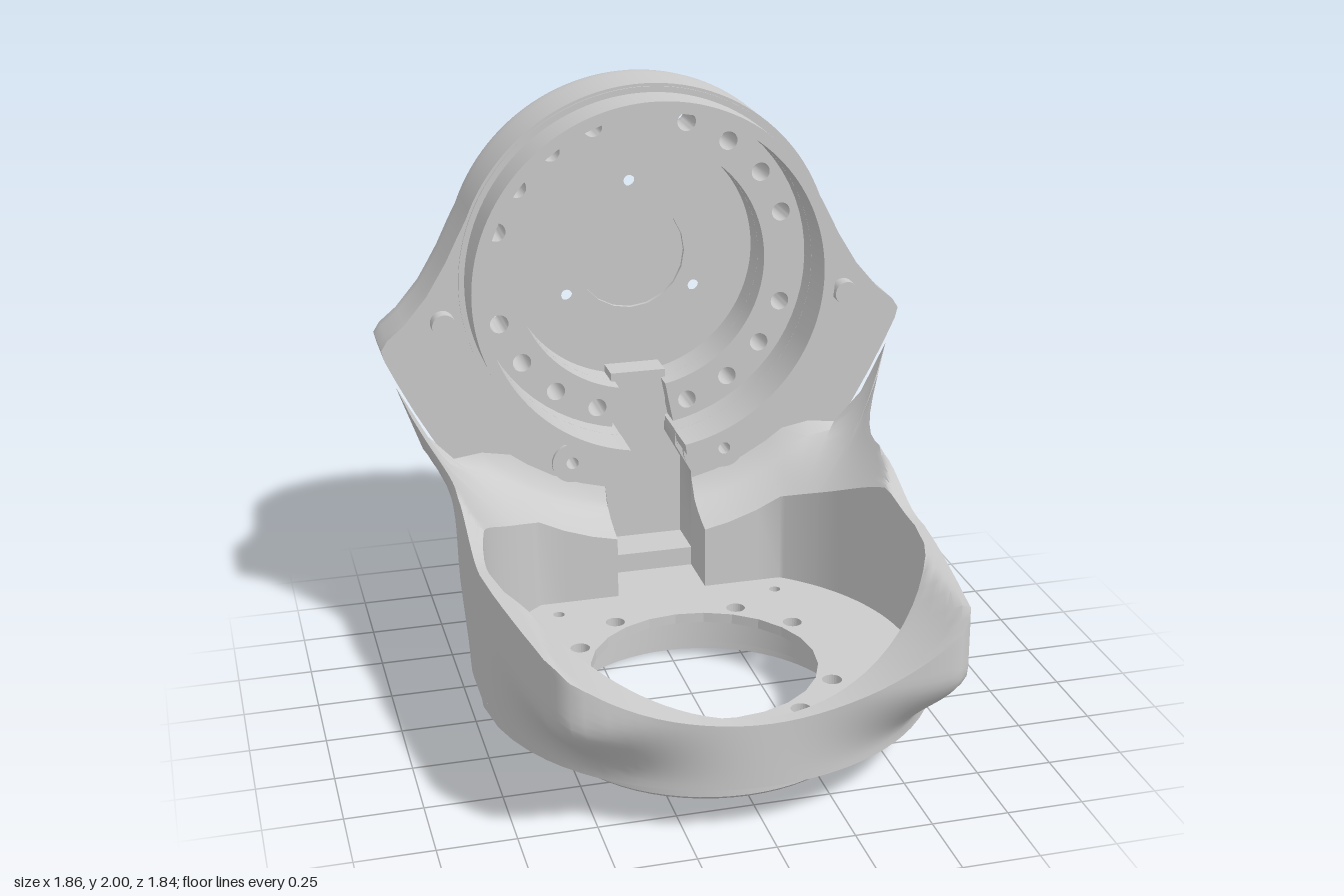
import * as THREE from 'three';
import { toCreasedNormals } from 'three/addons/utils/BufferGeometryUtils.js';

const CY = 1.33; // height of the upright flange axis
const CZ = 0.165; // depth of the base flange axis
const BACK = -0.905; // flat back face
const V = (x, y, z) => new THREE.Vector3(x, y, z);
const lerp = THREE.MathUtils.lerp;
const smooth = (t) => THREE.MathUtils.smoothstep(t, 0, 1);
const mat = new THREE.MeshStandardMaterial({ color: 0xcccccc, side: THREE.DoubleSide });

// Surface through rows of points
function grid(rows, closed = false) {
  const n = rows[0].length, idx = [];
  for (let r = 0; r < rows.length - 1; r++)
    for (let i = 0; i < (closed ? n : n - 1); i++) {
      const a = r * n + i, b = r * n + (i + 1) % n;
      idx.push(a, b, b + n, a, b + n, a + n);
    }
  const g = new THREE.BufferGeometry().setFromPoints(rows.flat());
  g.setIndex(idx);
  return toCreasedNormals(g, 0.7);
}

const circle = (x, y, r, n = 24) => Array.from({ length: n }, (_, i) =>
  new THREE.Vector2(x + r * Math.cos(i / n * 2 * Math.PI), y + r * Math.sin(i / n * 2 * Math.PI)));

function shape(pts, holes = []) {
  const s = new THREE.Shape(pts);
  s.holes = holes.map((h) => new THREE.Path(h));
  return s;
}

// Ring about the flange axis, open at the bottom by the given half angle
function openRing(r0, r1, gap, depth, holes = []) {
  const s = new THREE.Shape(), a = -Math.PI / 2 + gap, b = 1.5 * Math.PI - gap;
  s.absarc(0, CY, r1, a, b, false);
  s.absarc(0, CY, r0, b, a, true);
  s.holes = holes.map((h) => new THREE.Path(h));
  return toCreasedNormals(new THREE.ExtrudeGeometry(s, { depth, bevelEnabled: false, curveSegments: 64 }), 0.6);
}

// Half outline of the upright plate, bottom to shoulder, then the round top
const SIDE = [[0.5, 0.165], [0.55, 0.21], [0.585, 0.35], [0.645, 0.52], [0.73, 0.72], [0.83, 0.9],
  [0.885, 1.01], [0.922, 1.09], [0.932, 1.13], [0.91, 1.165], [0.85, 1.215], [0.77, 1.31], [0.7, 1.425], [0.655, 1.515]];
const TOP = Array.from({ length: 25 }, (_, i) => {
  const a = (21 + i * 69 / 24) * Math.PI / 180;
  return [0.67 * Math.cos(a), CY + 0.67 * Math.sin(a)];
});
const HALF = [...SIDE, ...TOP];
const OUTLINE = [...HALF, ...HALF.slice(0, -1).reverse().map(([x, y]) => [-x, y])];

function halfWidth(y) {
  for (let i = 1; i < 9; i++)
    if (y <= SIDE[i][1])
      return lerp(SIDE[i - 1][0], SIDE[i][0], Math.max(0, (y - SIDE[i - 1][1]) / (SIDE[i][1] - SIDE[i - 1][1])));
  return SIDE[8][0];
}

// Plate section at depth z; t pulls it in to the flat back face
function plateRing(z, t) {
  const yMin = 0.53 - 0.365 * Math.sqrt(Math.max(0, 1 - ((z + 0.55) / 0.36) ** 2));
  return OUTLINE.map(([x, y]) => {
    let ix, iy = y;
    if (y > CY) {
      const k = Math.min(1, 0.605 / Math.hypot(x, y - CY));
      ix = x * k; iy = CY + (y - CY) * k;
    } else ix = Math.sign(x) * Math.min(Math.abs(x) - 0.05, 0.6);
    let py = lerp(y, iy, t);
    if (py < 0.7) py = 0.7 - (0.7 - py) * (0.7 - yMin) / 0.535;
    return V(lerp(x, ix, t), py, z);
  });
}

// Round pocket joined to the cable channel below it
function keyhole(r) {
  const a0 = -Math.PI / 2 + Math.asin(0.1 / r), span = 2 * Math.PI - 2 * Math.asin(0.1 / r), pts = [];
  for (let i = 0; i <= 64; i++) pts.push(new THREE.Vector2(r * Math.cos(a0 + span * i / 64), CY + r * Math.sin(a0 + span * i / 64)));
  for (const [x, y] of [[-0.1, 0.68], [-0.16, 0.57], [-0.16, 0.27], [0.16, 0.27], [0.16, 0.57], [0.1, 0.68]])
    pts.push(new THREE.Vector2(x, y));
  return pts;
}

// Top height of the cup: swept clearance arc with a fillet to the plate, limited by the rim line
function cupTop(x, z) {
  const fillet = z < -0.15 ? 0.8 + 0.15 * Math.sqrt(Math.max(0, 1 - ((z + 0.15) / 0.45) ** 2)) : 0.95;
  const R = lerp(fillet, 0.95, smooth((Math.abs(x) - 0.5) / 0.25));
  const arc = CY - Math.sqrt(Math.max(R * R - x * x, 0.109));
  const rim = z < -0.2 ? 0.735 + (-0.2 - z) * 2
    : 0.635 + 0.1 * smooth((0.15 - z) / 0.35) - 0.06 * Math.max(0, (z - 0.85) / 0.07) ** 2;
  return Math.min(arc, rim);
}

// Cup wall at height y: round at the bottom, square-cornered above,
// behind it narrows to the plate below and flares out to the wing at yTop
const flare = (z) => 0.14 * Math.max(0, (-0.3 - z) / 0.3) ** 2;
function cupXZ(x, z, y, yTop) {
  if (z > CZ) {
    const k = 0.755 / Math.hypot(x, z - CZ), b = smooth((y - 0.18) / 0.27);
    return [lerp(x * k, x, b), lerp(CZ + (z - CZ) * k, z, b)];
  }
  const start = lerp(0, -0.2, smooth((y - 0.165) / 0.3));
  const t = Math.max(0, (start - z) / (start + 0.6));
  const w = lerp(0.75, Math.min(0.75, halfWidth(y)), t * t) + flare(z) * Math.max(0, (y - 0.6) / (yTop - 0.6));
  return [x / 0.75 * w, z];
}

export function createModel() {
  const model = new THREE.Group();
  const add = (name, geo, x = 0, y = 0, z = 0) => {
    const m = new THREE.Mesh(geo, mat);
    m.name = name;
    m.position.set(x, y, z);
    model.add(m);
    return m;
  };
  const face = (name, z, pts, holes) => add(name, new THREE.ShapeGeometry(shape(pts, holes)), 0, 0, z);
  const wall = (name, pts, z0, z1) =>
    add(name, grid([z0, z1].map((z) => pts.map((p) => V(p.x, p.y, z))), true));
  const rod = (name, r0, r1, len, x, y, z, open = false) =>
    add(name, new THREE.CylinderGeometry(r0, r1, len, 24, 1, open).rotateX(Math.PI / 2), x, y, z);

  // Hole positions on the upright flange
  const onAxis = (r, deg) => [r * Math.cos(deg * Math.PI / 180), CY + r * Math.sin(deg * Math.PI / 180)];
  const bolts = [18, 36, 54, 72, 108, 126, 144, 162].flatMap((a) => [onAxis(0.536, a), onAxis(0.536, -a)]);
  const lugs = [[0.28, 0.655], [-0.28, 0.655]];
  const capScrews = [90, 210, 330].map((a) => onAxis(0.27, a));
  const holes = (list, r) => list.map(([x, y]) => circle(x, y, r));

  // Upright plate
  const rings = [[-0.6, 0], [-0.66, 0], [-0.72, 0], [-0.77, 0], [-0.815, 0], [-0.838, 0.05], [-0.855, 0.17],
    [-0.872, 0.4], [-0.89, 0.72], [BACK, 1]].map(([z, t]) => plateRing(z, t));
  add('plateShell', grid(rings, true));
  face('plateFront', -0.6, OUTLINE.map(([x, y]) => new THREE.Vector2(x, y)), [keyhole(0.6), ...holes(lugs, 0.022)]);
  const back = face('plateBack', BACK, rings.at(-1).map((p) => new THREE.Vector2(p.x, p.y)),
    [circle(0, CY, 0.36, 48), ...holes([...bolts, ...lugs], 0.057)]);
  back.geometry.index.array.reverse();
  back.geometry.computeVertexNormals();

  // Round pocket, raised bolt ledge, floor and cable channel
  wall('pocketWall', keyhole(0.6), -0.6, -0.76);
  face('channelFloor', -0.76, keyhole(0.6), [circle(0, CY, 0.45, 64), ...holes(bolts, 0.033)]);
  add('boltLedge', openRing(0.45, 0.6, 0.19, 0.17, holes(bolts, 0.033)), 0, 0, -0.85);
  face('pocketFloor', -0.85, circle(0, CY, 0.45, 64), [circle(0, CY, 0.2, 20), ...holes(capScrews, 0.02)]);
  wall('centreRecessWall', circle(0, CY, 0.2, 20), -0.85, -0.865);
  face('centreRecess', -0.865, circle(0, CY, 0.2, 20));
  add('channelTongue', new THREE.BoxGeometry(0.2, 0.2, 0.11), 0, 0.82, -0.8);

  // Bolt holes with counterbores
  for (const [list, r, z0] of [[bolts, 0.033, -0.68], [lugs, 0.022, -0.6]])
    for (const [x, y] of list) {
      wall('boltHole', circle(x, y, r), z0, -0.83);
      face('counterboreSeat', -0.83, circle(x, y, 0.057), [circle(x, y, r)]);
      wall('counterbore', circle(x, y, 0.057), -0.83, BACK);
    }

  // Back cap with countersunk screws
  add('backCap', new THREE.ExtrudeGeometry(shape(circle(0, CY, 0.35, 48), holes(capScrews, 0.055)),
    { depth: 0.045, bevelEnabled: false }), 0, 0, -0.918);
  wall('capGroove', circle(0, CY, 0.36, 48), BACK, -0.87);
  face('capSeat', -0.872, circle(0, CY, 0.36, 48), holes(capScrews, 0.024));
  for (const [x, y] of capScrews) rod('countersink', 0.02, 0.055, 0.068, x, y, -0.884, true);

  // Collar around the pocket, open at the cable channel
  add('collar', openRing(0.6, 0.64, 0.165, 0.155), 0, 0, -0.605);
  add('collarFoot', openRing(0.635, 0.66, 0.165, 0.01), 0, 0, -0.605);

  // Pins and lugs beside the collar
  for (const s of [1, -1]) {
    rod('stopPin', 0.042, 0.042, 0.1, s * 0.72, 1.215, -0.6);
    const lug = new THREE.Shape();
    lug.absarc(s * 0.28, 0.655, 0.072, -Math.PI / 2, Math.PI / 2, s < 0);
    lug.absarc(s * 0.2, 0.655, 0.072, Math.PI / 2, -Math.PI / 2, s < 0);
    lug.holes.push(new THREE.Path(circle(s * 0.28, 0.655, 0.022)));
    add('lug', new THREE.ExtrudeGeometry(lug, { depth: 0.015, bevelEnabled: false }), 0, 0, -0.6);
  }

  // Cup plan: channel edge, back, side, front, then mirrored
  const backXs = [0.16, 0.25, 0.35, 0.44, 0.5, 0.6, 0.7, 0.8];
  const right = backXs.map((x) => [x, -0.6, true]);
  for (let i = 0; i <= 16; i++) right.push([0.75, -0.6 + i * 0.05]);
  right.push([0.735, 0.35], [0.722, 0.45], [0.708, 0.55], [0.695, 0.64], [0.682, 0.72], [0.667, 0.82], [0.645, 0.875], [0.61, 0.908], [0.57, 0.92]);
  for (let i = 10; i >= 0; i--) right.push([i * 0.05, 0.92]);
  const plan = [...right, ...right.slice(0, -1).reverse().map(([x, z, b]) => [-x, z, b])];
  const outer = plan.map(([x, z, isBack]) => {
    if (isBack) return V(x, cupTop(x, z), z);
    let px = x + Math.sign(x) * flare(z), pz = z, y = cupTop(px, pz);
    for (let k = 0; k < 8; k++) { [px, pz] = cupXZ(x, z, y, y); y = cupTop(px, pz); }
    return V(px, y, pz);
  });
  const inner = plan.map(([, , isBack], i) => {
    const p = outer[i], ax = Math.abs(p.x);
    if (isBack) {
      const ix = ax <= 0.44 ? ax : 0.44 + (ax - 0.44) * 0.23;
      return V(Math.sign(p.x) * ix, 0, Math.max(-0.41, 0.16 - Math.sqrt(0.5184 - ix * ix)));
    }
    const k = 0.72 / Math.hypot(p.x, p.z - 0.16);
    return V(p.x * k, 0, Math.max(-0.41, 0.16 + (p.z - 0.16) * k));
  });
  const rows = [];
  for (let k = 0; k <= 8; k++)
    rows.push(outer.map((p, i) => {
      const x = lerp(p.x, inner[i].x, k / 8), z = lerp(p.z, inner[i].z, k / 8);
      return V(x, k ? cupTop(x, z) : p.y, z);
    }));
  add('cupRim', grid(rows));
  add('cupInnerWall', grid([rows[8], inner.map((p) => V(p.x, 0.2, p.z))]));

  // Outer cup wall, following the flare as it rises
  const nb = backXs.length, wallPlan = plan.slice(nb, -nb), wallTop = outer.slice(nb, -nb), levels = [];
  for (let k = 0; k <= 14; k++)
    levels.push(wallPlan.map(([x, z], i) => {
      const top = wallTop[i].y, y = lerp(0.165, top, k / 14), [px, pz] = cupXZ(x, z, y, top);
      return V(px, y, pz);
    }));
  add('cupOuterWall', grid(levels));
  for (const s of [1, -1])
    add('channelSide', grid([0, 1].map((k) => [0, 1, 2, 3, 4].map((i) => {
      const z = -0.6 + i * 0.0475;
      return V(s * 0.16, k ? cupTop(0.16, z) : 0.2, z);
    }))));

  // Cup floor with bore and bolt circle
  const baseHoles = [circle(0, -CZ, 0.38, 24), circle(0.395, 0.32, 0.02), circle(-0.395, 0.32, 0.02)];
  for (const a of [30, 60, 120, 150, 210, 240, 300, 330])
    baseHoles.push(circle(0.435 * Math.cos(a * Math.PI / 180), -CZ + 0.435 * Math.sin(a * Math.PI / 180), 0.033));
  add('cupFloor', new THREE.ExtrudeGeometry(shape(levels[0].map((p) => new THREE.Vector2(p.x, -p.z)), baseHoles),
    { depth: 0.035, bevelEnabled: false }).rotateX(-Math.PI / 2), 0, 0.165, 0);

  // Base spigot ring under the cup
  const prof = [[0.54, 0.166], [0.54, 0.012], [0.528, 0], [0.5, 0], [0.5, 0.04], [0.47, 0.04], [0.47, 0.166]];
  add('baseRing', toCreasedNormals(new THREE.LatheGeometry(prof.map(([x, y]) => new THREE.Vector2(x, y)), 64), 0.6), 0, 0, CZ);

  // Small screw boss in the cup and its stud below
  add('floorBoss', new THREE.ExtrudeGeometry(shape(circle(0, 0, 0.09), [circle(0, 0, 0.027)]),
    { depth: 0.06, bevelEnabled: false }).rotateX(-Math.PI / 2), 0.29, 0.195, 0.725);
  add('bossStud', new THREE.CylinderGeometry(0.042, 0.042, 0.03, 24), 0.29, 0.17, 0.73);
  return model;
}
